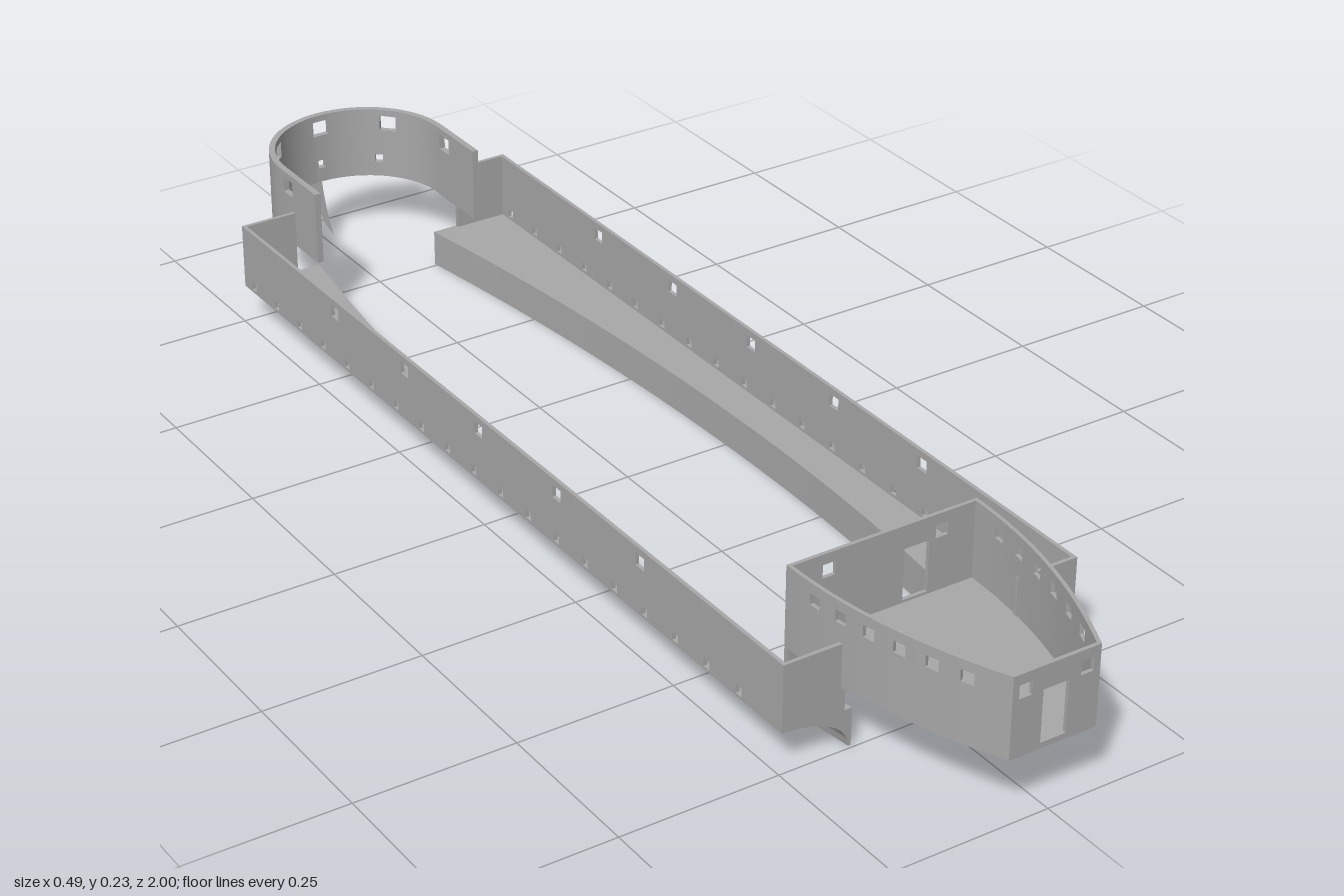
import * as THREE from 'three';
import { toCreasedNormals } from 'three/addons/utils/BufferGeometryUtils.js';

const T = 0.006; // plate thickness
const grey = new THREE.MeshStandardMaterial({ color: 0xa8a8a8, side: THREE.DoubleSide });
grey.name = 'hull grey';

const range = (a, b, n) => Array.from({ length: n + 1 }, (_, i) => a + (b - a) * i / n);

// Turn a list of triangles into a mesh, optionally mirrored in x
function makeMesh(name, tris, mirrored = false) {
  const pos = [];
  for (const [a, b, c] of tris) {
    for (const p of mirrored ? [a, c, b] : [a, b, c]) pos.push(mirrored ? -p[0] : p[0], p[1], p[2]);
  }
  const geo = new THREE.BufferGeometry();
  geo.setAttribute('position', new THREE.Float32BufferAttribute(pos, 3));
  const mesh = new THREE.Mesh(toCreasedNormals(geo, 0.5), grey);
  mesh.name = name;
  return mesh;
}

const quad = (out, a, b, c, d) => out.push([a, b, c], [a, c, d]);

// Upright plate along path(u) -> [x, z], with rectangular openings [u, y, width, height]
function wall(path, u0, u1, y0, y1, holes = [], steps = 1, t = T) {
  const breaks = (list) => [...new Set(list.map((v) => +v.toFixed(5)))].sort((a, b) => a - b);
  const us = breaks([...range(u0, u1, steps), ...holes.flatMap(([u, , w]) => [u - w / 2, u + w / 2])]);
  const ys = breaks([y0, y1, ...holes.flatMap(([, y, , h]) => [y - h / 2, y + h / 2])]);
  const solid = (i, j) => {
    if (i < 0 || j < 0 || i >= us.length - 1 || j >= ys.length - 1) return false;
    const u = (us[i] + us[i + 1]) / 2, y = (ys[j] + ys[j + 1]) / 2;
    return !holes.some(([hu, hy, w, h]) => Math.abs(u - hu) < w / 2 && Math.abs(y - hy) < h / 2);
  };
  const outer = (i, j) => { const [x, z] = path(us[i]); return [x, ys[j], z]; };
  const inner = (i, j) => {
    const [x, z] = path(us[i]), e = 1e-4;
    const a = path(us[i] - e), b = path(us[i] + e);
    const dx = b[0] - a[0], dz = b[1] - a[1], l = Math.hypot(dx, dz);
    return [x + dz / l * t, ys[j], z - dx / l * t];
  };
  const out = [];
  for (let i = 0; i < us.length - 1; i++) {
    for (let j = 0; j < ys.length - 1; j++) {
      if (!solid(i, j)) continue;
      const o = [outer(i, j), outer(i + 1, j), outer(i + 1, j + 1), outer(i, j + 1)];
      const n = [inner(i, j), inner(i + 1, j), inner(i + 1, j + 1), inner(i, j + 1)];
      quad(out, ...o);
      quad(out, n[1], n[0], n[3], n[2]);
      const open = [!solid(i, j - 1), !solid(i + 1, j), !solid(i, j + 1), !solid(i - 1, j)];
      open.forEach((isOpen, k) => {
        const m = (k + 1) % 4;
        if (isOpen) quad(out, o[m], o[k], n[k], n[m]);
      });
    }
  }
  return out;
}

// Solid through sections section(z) -> [[x, y], ...], clockwise seen from the front
function loft(section, zs) {
  const rings = zs.map((z) => section(z).map(([x, y]) => [x, y, z]));
  const n = rings[0].length, out = [];
  for (let i = 0; i < rings.length - 1; i++) {
    for (let k = 0; k < n; k++) {
      const m = (k + 1) % n;
      quad(out, rings[i][k], rings[i + 1][k], rings[i + 1][m], rings[i][m]);
    }
  }
  const back = rings[0], front = rings[rings.length - 1];
  for (let k = 1; k < n - 1; k++) {
    out.push([back[0], back[k], back[k + 1]], [front[0], front[k + 1], front[k]]);
  }
  return out;
}

export function createModel() {
  const group = new THREE.Group();
  group.name = 'ship superstructure';
  const add = (name, tris) => group.add(makeMesh(name, tris));
  const addPair = (name, tris) => {
    group.add(makeMesh('left ' + name, tris), makeMesh('right ' + name, tris, true));
  };

  // Long side walls with windows and a row of portholes
  const X = 0.243, Y = 0.06, TOP = 0.167, Z0 = -0.755, Z1 = 0.745;
  const sideHoles = [
    ...range(-0.405, 0.452, 4).map((u) => [u, 0.146, 0.022, 0.02]),
    ...range(-0.645, 0.723, 18).map((u) => [u, 0.071, 0.014, 0.013]),
  ];
  addPair('side wall', wall((u) => [X, -u], -Z1, -Z0, Y, TOP, sideHoles));
  addPair('front end wall', wall((u) => [u, Z1], 0.142, X, Y, TOP));
  addPair('rear end wall', wall((u) => [-u, Z0], -X, -0.15, Y, TOP));

  // Sponsons: flat ledge, hollow-curved underside, bowed inner edge
  const innerX = (z) => z < 0.1
    ? 0.178 - 0.07 * ((0.1 - z) / 0.855) ** 2
    : 0.178 - 0.048 * ((z - 0.1) / 0.645) ** 2;
  addPair('sponson', loft((z) => {
    const x = innerX(z), r = X - x - 0.004;
    const curve = range(Math.PI / 2, 0, 10).map((a) => [X - r * Math.cos(a), Y * Math.sin(a)]);
    return [[x, Y], ...curve, [x, 0]];
  }, range(Z0, Z1, 32)));

  // Bow house
  const bowX = (z) => 0.158 - 0.087 * ((z - 0.63) / 0.37) ** 2;
  const bowTop = 0.23, floorY = 0.107;
  const bowHoles = range(-0.94, -0.69, 5).map((u) => [u, 0.205, 0.019, 0.018]);
  addPair('bow side wall', wall((u) => [bowX(-u), -u], -1, -0.63, 0.102, bowTop, bowHoles, 16));
  add('bow front wall', wall((u) => [u, 1], -0.071, 0.071, 0.102, bowTop, [
    [0, 0.152, 0.042, 0.082], [-0.05, 0.203, 0.021, 0.021], [0.05, 0.203, 0.021, 0.021],
  ]));
  add('bow rear wall', wall((u) => [-u, 0.628], -0.158, 0.158, Y, bowTop, [
    [-0.054, 0.152, 0.042, 0.082], [-0.096, 0.203, 0.021, 0.021], [0.092, 0.203, 0.021, 0.021],
  ]));
  add('bow floor', loft((z) => {
    const x = bowX(z), drop = Math.max(0, (0.77 - z) / 0.14);
    const bottom = 0.102 - 0.042 * drop, xb = x - 0.008 * drop;
    return [[-x, floorY], [x, floorY], [xb, bottom], [-xb, bottom]];
  }, [0.63, 0.68, 0.725, 0.77, 0.81, 0.85, 0.89, 0.93, 0.965, 1]));

  // Round stern screen, u = 0 at the rearmost point
  const R = 0.15, ZC = -0.795, L = R * Math.PI / 2;
  const sternPath = (u) => Math.abs(u) < L
    ? [-R * Math.sin(u / R), ZC - R * Math.cos(u / R)]
    : [-Math.sign(u) * R, ZC + Math.abs(u) - L];
  const sternHoles = [];
  for (const u of [0, -0.82 * R, 0.82 * R, -L - 0.025, L + 0.025]) sternHoles.push([u, 0.205, 0.03, 0.026]);
  for (const u of [0, -0.7 * R, 0.7 * R]) sternHoles.push([u, 0.14, 0.014, 0.014]);
  add('stern screen', wall(sternPath, -L - 0.117, L + 0.117, 0.108, 0.229, sternHoles, 48, 0.01));

  // Fin sheet below the stern
  const fin = new THREE.Shape();
  fin.moveTo(0.905, 0.02);
  fin.quadraticCurveTo(0.93, 0.06, 0.938, 0.105);
  fin.lineTo(0.975, 0.104);
  fin.lineTo(1, 0.09);
  fin.quadraticCurveTo(0.955, 0.065, 0.94, 0.032);
  fin.closePath();
  const finMesh = new THREE.Mesh(new THREE.ShapeGeometry(fin).rotateY(Math.PI / 2), grey);
  finMesh.name = 'stern fin';
  group.add(finMesh);

  return group;
}
